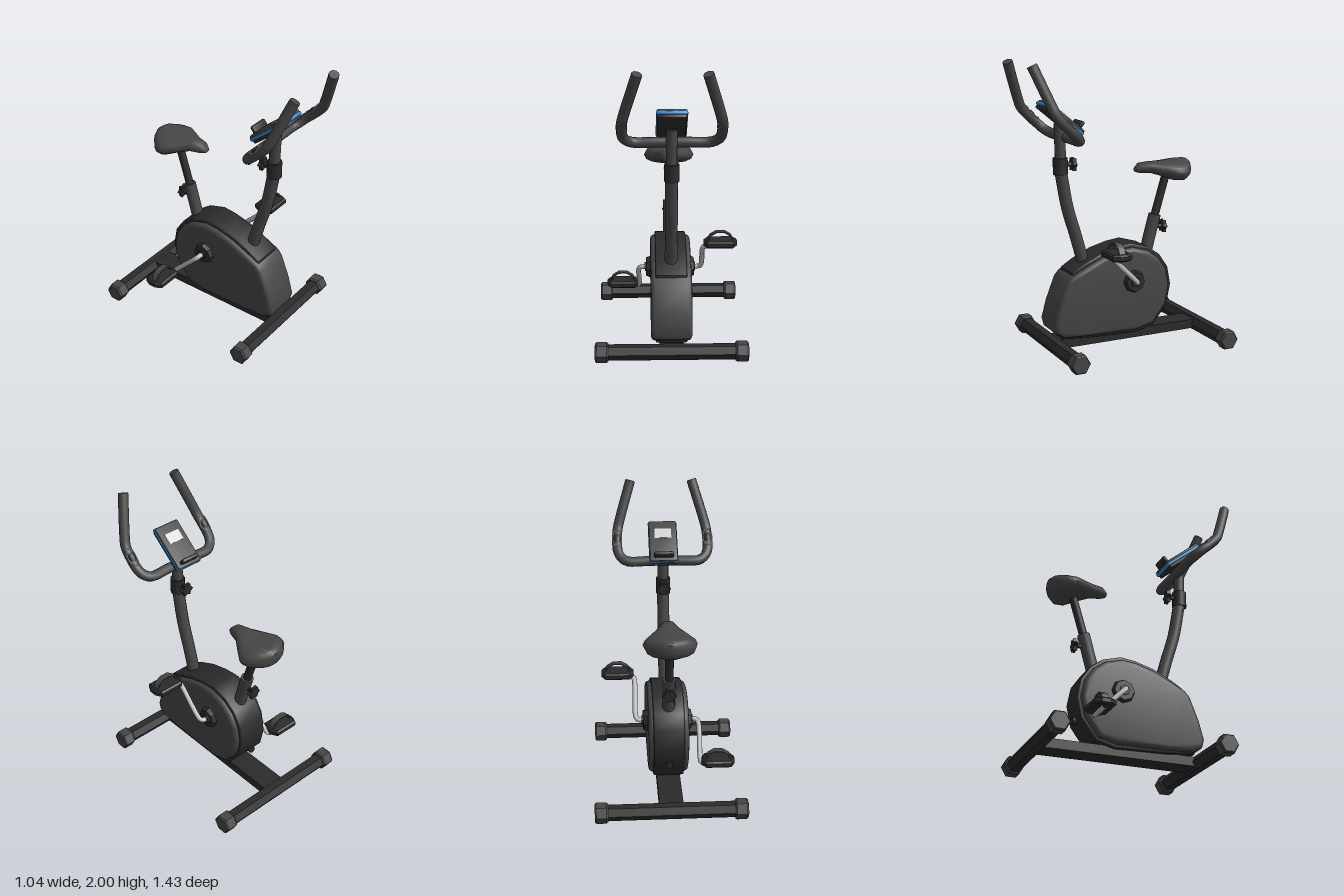
import * as THREE from 'three';
import { toCreasedNormals } from 'three/addons/utils/BufferGeometryUtils.js';
import { RoundedBoxGeometry } from 'three/addons/geometries/RoundedBoxGeometry.js';

const V = (x, y, z) => new THREE.Vector3(x, y, z);
const paint = (name, color) => Object.assign(new THREE.MeshStandardMaterial({ color }), { name });

export function createModel() {
  const model = new THREE.Group();
  model.name = 'exerciseBike';
  const charcoal = paint('charcoal', 0x464646);
  const black = paint('black', 0x2b2b2b);
  const silver = paint('silver', 0xbdbdbd);
  const blue = paint('blue', 0x2f86cf);
  const screenGrey = paint('screenGrey', 0xcfcfcf);

  const add = (name, geo, mat, pos = [0, 0, 0], parent = model, crease = 0.65) => {
    const mesh = new THREE.Mesh(toCreasedNormals(geo, crease), mat);
    mesh.name = name;
    mesh.position.set(...pos);
    parent.add(mesh);
    return mesh;
  };
  // Straight round bar between two points
  const rod = (name, a, b, r, mat, seg = 12, parent = model) => {
    const dir = b.clone().sub(a);
    const mesh = add(name, new THREE.CylinderGeometry(r, r, dir.length(), seg), mat, [0, 0, 0], parent, 0.9);
    mesh.position.copy(a).add(b).multiplyScalar(0.5);
    mesh.quaternion.setFromUnitVectors(V(0, 1, 0), dir.normalize());
    return mesh;
  };
  const tube = (name, pts, r, mat, steps = 32, seg = 10, closed = false, parent = model) =>
    add(name, new THREE.TubeGeometry(new THREE.CatmullRomCurve3(pts, closed), steps, r, seg, closed), mat, [0, 0, 0], parent, 1);
  // Side profile of [z, y] points, extruded across x with a rounded edge
  const slab = (name, profile, width, bevel, mat) => {
    const shape = new THREE.Shape(profile.map(([z, y]) => new THREE.Vector2(z, y)));
    const geo = new THREE.ExtrudeGeometry(shape, {
      depth: width - 2 * bevel, bevelThickness: bevel, bevelSize: bevel, bevelOffset: -bevel, bevelSegments: 3,
    });
    geo.translate(0, 0, -(width - 2 * bevel) / 2).rotateY(-Math.PI / 2);
    return add(name, geo, mat);
  };

  // Floor feet with hexagonal end caps
  for (const [label, z] of [['front', 0.487], ['rear', -0.645]]) {
    add(label + 'Foot', new THREE.CylinderGeometry(0.055, 0.055, 0.9, 6).rotateZ(Math.PI / 2), black, [0, 0.062, z]);
    for (const s of [-1, 1]) {
      const profile = [[0, -0.045], [0.062, -0.045], [0.071, -0.035], [0.071, 0.033], [0.061, 0.045], [0, 0.045]];
      const geo = new THREE.LatheGeometry(profile.map(([r, y]) => new THREE.Vector2(r, y)), 6);
      add(label + 'FootCap', geo.rotateZ(Math.PI / 2), charcoal, [s * 0.475, 0.062, z], model, 0.3);
    }
  }
  add('baseBeam', new THREE.BoxGeometry(0.165, 0.065, 1.12), black, [0, 0.066, -0.08]);

  // Flywheel housing: dark core and lighter, wider shell
  slab('housingCore', [
    [0.44, 0.11], [0.24, 0.09], [-0.13, 0.08], [-0.265, 0.115], [-0.37, 0.255], [-0.4, 0.4], [-0.375, 0.53],
    [-0.31, 0.625], [-0.22, 0.69], [-0.09, 0.727], [0.01, 0.715], [0.14, 0.68], [0.28, 0.615], [0.36, 0.565],
    [0.37, 0.5], [0.46, 0.2],
  ], 0.215, 0.01, black);
  slab('housingShell', [
    [0.505, 0.21], [0.49, 0.155], [0.43, 0.12], [0.24, 0.108], [-0.12, 0.103], [-0.25, 0.135], [-0.348, 0.265],
    [-0.375, 0.4], [-0.352, 0.52], [-0.295, 0.607], [-0.21, 0.668], [-0.09, 0.702], [0.01, 0.692],
    [0.14, 0.655], [0.28, 0.59], [0.37, 0.545], [0.405, 0.505], [0.47, 0.34],
  ], 0.28, 0.03, charcoal);
  rod('rearPlug', V(0, 0.265, -0.35), V(0, 0.265, -0.395), 0.025, black, 8);

  // Knob with a stem and a lobed grip, pointing backward
  const knob = (name, y, z, depth) => {
    rod(name + 'Stem', V(0, y, z), V(0, y, z - depth), 0.015, black, 8);
    const lobes = Array.from({ length: 12 }, (_, i) => {
      const a = i * Math.PI / 6, r = i % 2 ? 0.034 : 0.05;
      return new THREE.Vector2(r * Math.cos(a), r * Math.sin(a));
    });
    add(name, new THREE.ExtrudeGeometry(new THREE.Shape(lobes), { depth: 0.028, bevelEnabled: false }), black, [0, y, z - depth - 0.014]);
  };

  // Front post with its clamp collar
  tube('frontPost', [V(0, 0.56, 0.225), V(0, 0.62, 0.24), V(0, 0.8, 0.29), V(0, 1.0, 0.35), V(0, 1.24, 0.395)], 0.043, charcoal, 20, 12);
  rod('upperPost', V(0, 1.22, 0.395), V(0, 1.58, 0.405), 0.038, charcoal);
  rod('postCollar', V(0, 1.235, 0.4), V(0, 1.35, 0.4), 0.051, black);
  knob('postKnob', 1.3, 0.37, 0.063);

  // Handlebar, bent up and forward at both ends
  const side = [
    V(0.1, 1.49, 0.37), V(0.25, 1.49, 0.37), V(0.295, 1.51, 0.395), V(0.318, 1.545, 0.43), V(0.322, 1.605, 0.495),
    V(0.316, 1.67, 0.555), V(0.3, 1.73, 0.582), V(0.22, 1.985, 0.68),
  ];
  const mirrored = side.map((p) => V(-p.x, p.y, p.z)).reverse();
  tube('handlebar', [...mirrored, ...side], 0.035, charcoal, 72, 10);
  for (const s of [-1, 1]) {
    rod('handlebarEnd', V(s * 0.2215, 1.98, 0.678), V(s * 0.219, 1.988, 0.6812), 0.035, charcoal, 10);
    // Oval pulse sensor following the grip surface
    const sensor = new THREE.Group();
    sensor.name = 'pulseSensor';
    sensor.position.set(s * 0.322, 1.605, 0.495);
    sensor.rotation.x = -0.78;
    model.add(sensor);
    const ring = Array.from({ length: 20 }, (_, i) => {
      const a = i * Math.PI / 10, u = 0.032 * Math.cos(a);
      return V(u, Math.sqrt(0.037 ** 2 - u * u), 0.062 * Math.sin(a));
    });
    tube('sensorRing', ring, 0.0045, silver, 40, 6, true, sensor);
    const pad = add('sensorPad', new THREE.SphereGeometry(1, 14, 8), black, [0, 0.012, 0], sensor);
    pad.scale.set(0.03, 0.028, 0.055);
  }

  // Tilted console
  const display = new THREE.Group();
  display.name = 'console';
  display.position.set(0, 1.615, 0.4);
  display.rotation.x = -0.69;
  model.add(display);
  add('consoleBack', new RoundedBoxGeometry(0.19, 0.03, 0.315, 2, 0.012), black, [0, -0.018, 0], display);
  add('consoleBand', new RoundedBoxGeometry(0.204, 0.026, 0.334, 2, 0.011), blue, [0, 0.002, 0], display);
  add('consoleFace', new RoundedBoxGeometry(0.196, 0.024, 0.326, 2, 0.011), charcoal, [0, 0.017, 0], display);
  add('consoleScreen', new THREE.BoxGeometry(0.118, 0.004, 0.075), screenGrey, [0, 0.029, 0.058], display);
  add('consoleLip', new RoundedBoxGeometry(0.14, 0.055, 0.028, 2, 0.012), black, [0, 0.05, -0.128], display);

  // Seat post in two stages
  rod('seatSleeve', V(0, 0.62, -0.25), V(0, 0.895, -0.325), 0.044, charcoal);
  rod('seatPost', V(0, 0.86, -0.316), V(0, 1.19, -0.415), 0.029, black);
  knob('seatKnob', 0.805, -0.33, 0.06);

  // Saddle lofted from nose to tail: z, half width, top, bottom
  const sections = [
    [-0.165, 0, 1.225, 1.225], [-0.167, 0.025, 1.24, 1.21], [-0.2, 0.047, 1.272, 1.2], [-0.28, 0.072, 1.277, 1.195],
    [-0.36, 0.13, 1.272, 1.17], [-0.435, 0.18, 1.272, 1.14], [-0.5, 0.165, 1.282, 1.13], [-0.56, 0.1, 1.285, 1.15],
    [-0.588, 0.045, 1.265, 1.18], [-0.59, 0, 1.225, 1.225],
  ];
  const n = 14, verts = [], faces = [];
  const soft = (v) => Math.sign(v) * Math.abs(v) ** 0.85;
  sections.forEach(([z, w, top, bottom], i) => {
    for (let j = 0; j < n; j++) {
      const a = j / n * Math.PI * 2;
      verts.push(w * soft(Math.cos(a)), (top + bottom) / 2 + (top - bottom) / 2 * soft(Math.sin(a)), z);
      if (i === sections.length - 1) continue;
      const p = i * n + j, q = i * n + (j + 1) % n;
      faces.push(p, p + n, q, q, p + n, q + n);
    }
  });
  const saddle = new THREE.BufferGeometry();
  saddle.setAttribute('position', new THREE.Float32BufferAttribute(verts, 3));
  saddle.setIndex(faces);
  add('saddle', saddle, charcoal, [0, 0, 0], model, 0.8);

  // Cranks and pedals, half a turn apart
  const pedalShape = new THREE.Shape([
    [-0.09, -0.073], [0.09, -0.073], [0.115, -0.025], [0.115, 0.025], [0.09, 0.073], [-0.09, 0.073], [-0.115, 0.025], [-0.115, -0.025],
  ].map(([x, z]) => new THREE.Vector2(x, z)));
  const strapShape = new THREE.Shape([
    [-0.09, 0], [-0.075, 0.035], [-0.03, 0.063], [0.03, 0.063], [0.075, 0.035], [0.09, 0],
    [0.08, 0], [0.068, 0.029], [0.027, 0.054], [-0.027, 0.054], [-0.068, 0.029], [-0.08, 0],
  ].map(([x, y]) => new THREE.Vector2(x, y)));
  for (const s of [-1, 1]) {
    const hub = new THREE.CylinderGeometry(0.07, 0.083, 0.035, 8).rotateZ(-s * Math.PI / 2);
    add('crankHub', hub, black, [s * 0.153, 0.465, -0.09], model, 0.3);
    rod('crankBoss', V(s * 0.16, 0.465, -0.09), V(s * 0.18, 0.465, -0.09), 0.035, black, 8);
    const at = (x, t) => V(s * x, 0.465 + s * t * 0.233, -0.09 + s * t * 0.235);
    tube('crankArm', [at(0.14, 0), at(0.19, 0), at(0.212, 0.03), at(0.222, 0.11), at(0.222, 0.9), at(0.23, 0.97), at(0.255, 1), at(0.43, 1)],
      0.018, silver, 48, 8);
    const pedal = new THREE.Group();
    pedal.name = 'pedal';
    pedal.position.copy(at(0.342, 1)).add(V(0, 0.026, 0));
    model.add(pedal);
    const tread = new THREE.ExtrudeGeometry(pedalShape, {
      depth: 0.026, bevelThickness: 0.011, bevelSize: 0.012, bevelOffset: -0.012, bevelSegments: 1,
    });
    add('pedalTread', tread.translate(0, 0, -0.013).rotateX(Math.PI / 2), black, [0, 0, 0], pedal, 0.3);
    add('pedalStrap', new THREE.ExtrudeGeometry(strapShape, { depth: 0.045, bevelEnabled: false }), charcoal, [0, 0.02, -0.0225], pedal);
  }
  return model;
}
